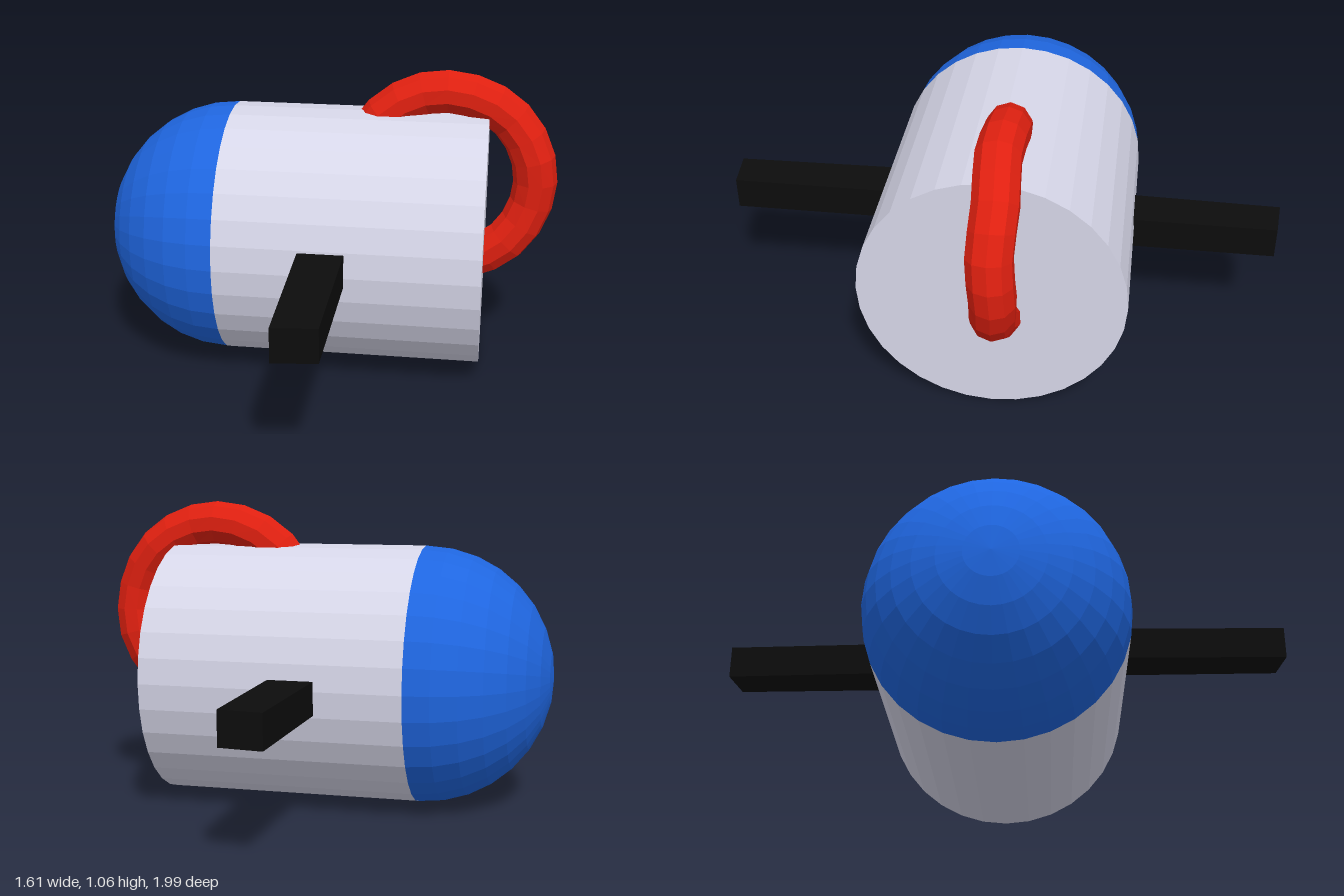
import * as THREE from 'three';

const RADIUS = 0.455, AXIS_Y = 0.457, AXIS_Z = -0.022;
const BODY_LEFT = -0.352, BODY_RIGHT = 0.557;

function part(name, geometry, color) {
  const material = new THREE.MeshStandardMaterial({ color, flatShading: true });
  const mesh = new THREE.Mesh(geometry, material);
  mesh.name = name;
  return mesh;
}

// Bar that narrows slightly and ends in a skewed face; side is +1 (front) or -1 (back)
function armGeometry(side, y) {
  const inner = 0.3, outer = 0.995;
  const geometry = new THREE.BoxGeometry(0.16, 0.114, outer - inner);
  geometry.translate(0.02, y, side * (inner + outer) / 2);
  const p = geometry.attributes.position;
  for (let i = 0; i < p.count; i++) {
    if (Math.abs(p.getZ(i)) < 0.9) continue;
    if (p.getX(i) < 0) p.setX(i, p.getX(i) + 0.015);
    else p.setZ(i, p.getZ(i) - side * 0.016);
  }
  geometry.computeVertexNormals();
  return geometry;
}

export function createModel() {
  const model = new THREE.Group();
  model.name = 'capsuleWithHandle';

  // Barrel lying along x
  const barrel = new THREE.CylinderGeometry(RADIUS, RADIUS, BODY_RIGHT - BODY_LEFT, 32);
  barrel.rotateZ(Math.PI / 2);
  barrel.translate((BODY_LEFT + BODY_RIGHT) / 2, AXIS_Y, AXIS_Z);
  model.add(part('barrel', barrel, 0xd6d6e8));

  // Domed nose
  const nose = new THREE.SphereGeometry(RADIUS, 32, 8, 0, Math.PI * 2, 0, Math.PI / 2);
  nose.rotateZ(Math.PI / 2);
  nose.translate(BODY_LEFT, AXIS_Y, AXIS_Z);
  model.add(part('nose', nose, 0x1f66e0));

  // Ring handle, partly sunk into the barrel, with a slight sideways ripple
  const handle = new THREE.TorusGeometry(0.318, 0.078, 10, 24);
  const p = handle.attributes.position;
  for (let i = 0; i < p.count; i++) {
    const angle = Math.atan2(p.getY(i), p.getX(i));
    p.setZ(i, p.getZ(i) + 0.005 * Math.sin(angle * 6));
  }
  handle.computeVertexNormals();
  handle.translate(0.41, 0.666, -0.047);
  model.add(part('handle', handle, 0xe02010));

  // Side arms at slightly different heights
  model.add(part('frontArm', armGeometry(1, 0.481), 0x0c0c0c));
  model.add(part('backArm', armGeometry(-1, 0.434), 0x0c0c0c));

  return model;
}
